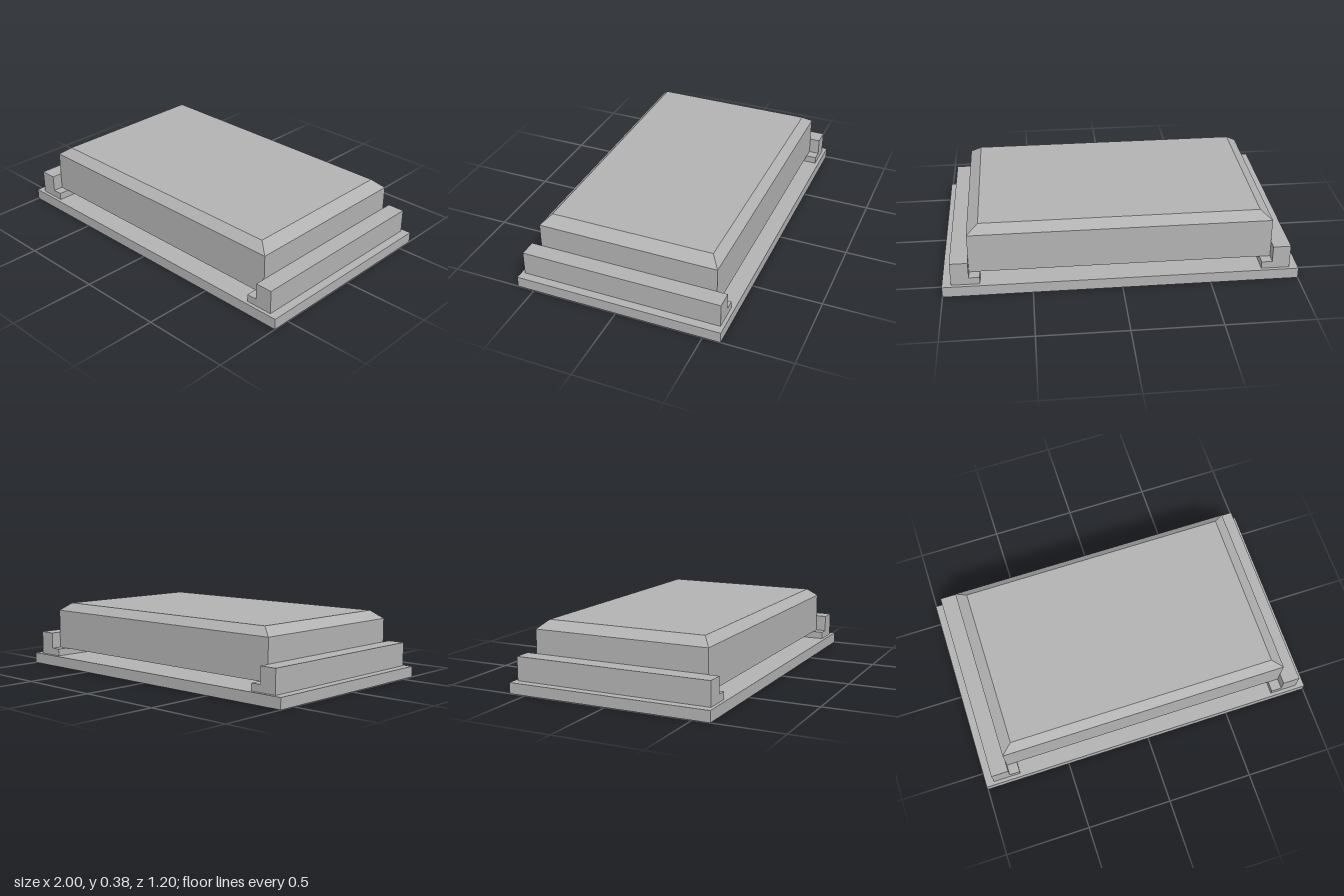
import * as THREE from 'three';

const BASE_TOP = 0.063, LEDGE_TOP = 0.105, RAIL_TOP = 0.2, SHOULDER = 0.338, TOP = 0.385;

// Slab with a chamfered top: the upper two vertex rings of a box are moved to the shoulder and the inset top
function chamferedSlab() {
  const box = new THREE.BoxGeometry(1.7, 2, 1.04, 1, 2, 1);
  const p = box.attributes.position;
  for (let i = 0; i < p.count; i++) {
    const level = Math.round(p.getY(i));
    p.setY(i, [LEDGE_TOP, SHOULDER, TOP][level + 1]);
    if (level === 1) {
      p.setX(i, Math.sign(p.getX(i)) * 0.785);
      p.setZ(i, Math.sign(p.getZ(i)) * 0.471);
    }
  }
  const geometry = box.toNonIndexed();
  geometry.computeVertexNormals();
  return geometry;
}

// L-shaped rail section with an inner ledge, extruded along z
function railGeometry(side) {
  const points = [[0.79, BASE_TOP], [0.95, BASE_TOP], [0.95, RAIL_TOP],
    [0.85, RAIL_TOP], [0.85, LEDGE_TOP], [0.79, LEDGE_TOP]];
  const shape = new THREE.Shape(points.map(([x, y]) => new THREE.Vector2(side * x, y)));
  return new THREE.ExtrudeGeometry(shape, { depth: 1.16, bevelEnabled: false }).translate(0, 0, -0.58);
}

export function createModel() {
  const model = new THREE.Group();
  model.name = 'slabOnRails';
  const grey = new THREE.MeshStandardMaterial({ color: 0xb2b2b2 });
  grey.name = 'grey';

  const add = (name, geometry) => {
    const mesh = new THREE.Mesh(geometry, grey);
    mesh.name = name;
    model.add(mesh);
  };

  // Base plate
  add('basePlate', new THREE.BoxGeometry(2, BASE_TOP, 1.2).translate(0, BASE_TOP / 2, 0));

  // Side rails holding the slab above the plate
  add('leftRail', railGeometry(1));
  add('rightRail', railGeometry(-1));

  // Sliding slab
  add('slab', chamferedSlab());

  return model;
}
